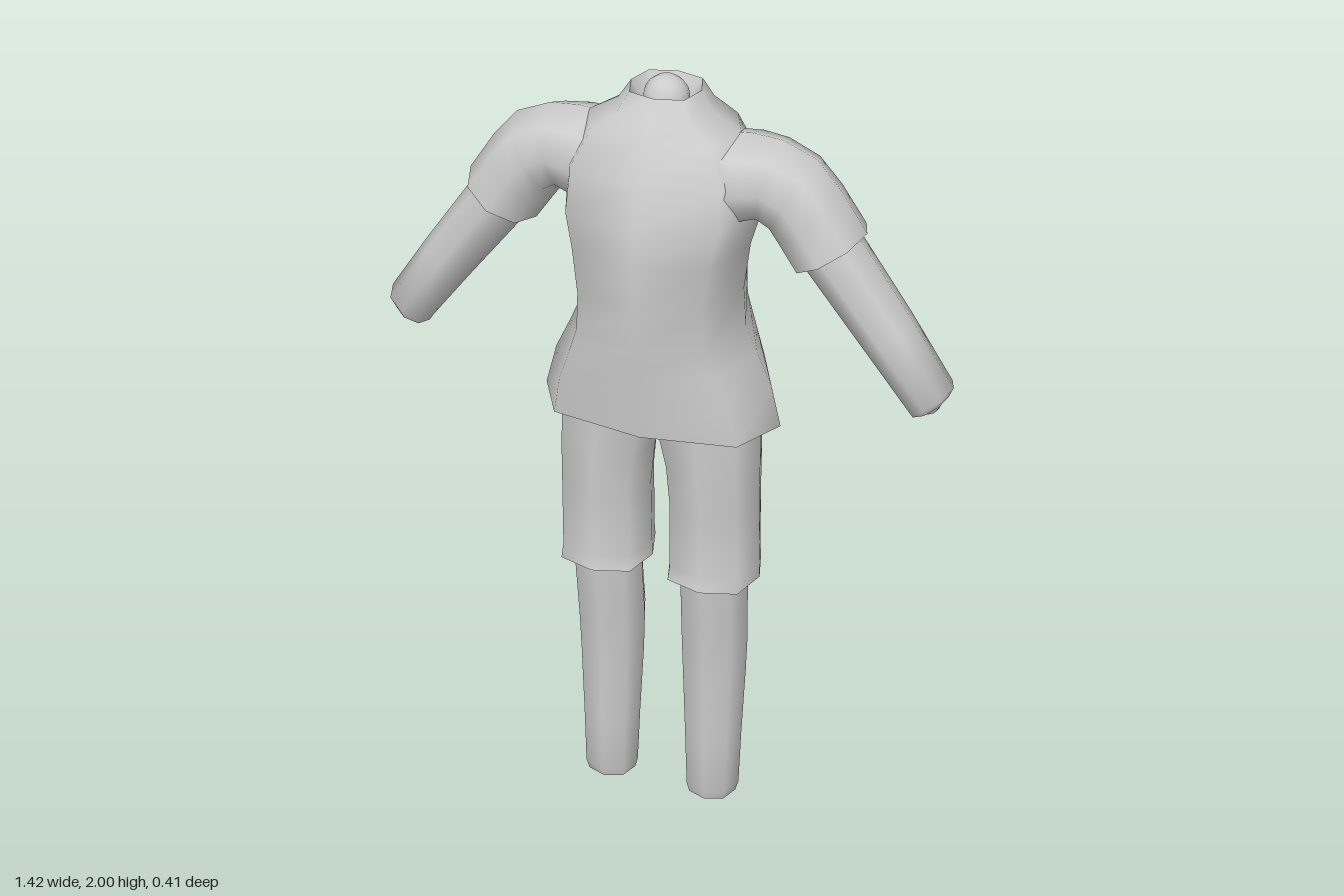
import * as THREE from 'three';
import { toCreasedNormals } from 'three/addons/utils/BufferGeometryUtils.js';

const grey = new THREE.MeshStandardMaterial({ color: 0xcccccc, side: THREE.DoubleSide });
grey.name = 'plain grey';

// Skin a surface through rings { c: centre, u, v: half axes, dip: [front, back] drop }
function loft(name, rings, power = 1, sides = 8) {
  const pos = [], index = [];
  for (const { c, u, v, dip = [0, 0] } of rings) {
    for (let i = 0; i < sides; i++) {
      const a = (i / sides) * Math.PI * 2;
      const soft = (t) => (Math.abs(t) < 1e-6 ? 0 : Math.sign(t) * Math.abs(t) ** power);
      const s = soft(Math.sin(a));
      const p = c.clone().addScaledVector(u, soft(Math.cos(a))).addScaledVector(v, s);
      p.y -= s > 0 ? dip[0] * s : -dip[1] * s;
      pos.push(p.x, p.y, p.z);
    }
  }
  // keep faces outward whichever way the rings run
  const along = rings[2].c.clone().sub(rings[1].c);
  const outward = rings[1].u.clone().cross(rings[1].v).dot(along) > 0;
  for (let r = 0; r < rings.length - 1; r++) {
    for (let i = 0; i < sides; i++) {
      const a = r * sides + i, b = r * sides + ((i + 1) % sides);
      const d = a + sides, e = b + sides;
      if (outward) index.push(a, b, e, a, e, d);
      else index.push(a, e, b, a, d, e);
    }
  }
  const g = new THREE.BufferGeometry();
  g.setAttribute('position', new THREE.Float32BufferAttribute(pos, 3));
  g.setIndex(index);
  const mesh = new THREE.Mesh(toCreasedNormals(g, 1.4), grey);
  mesh.name = name;
  return mesh;
}

// Level ring: height, x from/to, z from/to
const level = (y, x0, x1, z0, z1, dip) => ({
  c: new THREE.Vector3((x0 + x1) / 2, y, (z0 + z1) / 2),
  u: new THREE.Vector3((x1 - x0) / 2, 0, 0),
  v: new THREE.Vector3(0, 0, (z1 - z0) / 2),
  dip,
});

// Sloping arm ring: upper point, lower point, half depth
const slope = (tx, ty, bx, by, depth) => ({
  c: new THREE.Vector3((tx + bx) / 2, (ty + by) / 2, -0.01),
  u: new THREE.Vector3((tx - bx) / 2, (ty - by) / 2, 0),
  v: new THREE.Vector3(0, 0, depth),
});

function ball(name, x, y, z, r) {
  const m = new THREE.Mesh(new THREE.SphereGeometry(r, 12, 8), grey);
  m.name = name;
  m.position.set(x, y, z);
  return m;
}

// Short sleeve, forearm with an open wrist, and the joint ball inside it
function makeArm() {
  const arm = new THREE.Group();
  arm.add(
    loft('sleeve', [
      slope(0.16, 1.89, 0.17, 1.66, 0.13),
      slope(0.21, 1.895, 0.21, 1.68, 0.12),
      slope(0.28, 1.89, 0.24, 1.69, 0.105),
      slope(0.365, 1.855, 0.262, 1.672, 0.1),
      slope(0.425, 1.785, 0.285, 1.64, 0.105),
      slope(0.488, 1.69, 0.323, 1.585, 0.108),
      slope(0.465, 1.69, 0.335, 1.605, 0.085),
    ]),
    loft('forearm', [
      slope(0.4, 1.77, 0.27, 1.69, 0.085),
      slope(0.475, 1.67, 0.345, 1.592, 0.085),
      slope(0.605, 1.485, 0.49, 1.41, 0.08),
      slope(0.71, 1.328, 0.605, 1.262, 0.07),
      slope(0.7, 1.303, 0.615, 1.246, 0.057),
      slope(0.66, 1.325, 0.605, 1.29, 0.035),
    ]),
    ball('wristJoint', 0.65, 1.282, -0.01, 0.033),
  );
  return arm;
}

// Shorts leg, lower leg with an open ankle, and the joint ball inside it
function makeLeg() {
  const leg = new THREE.Group();
  leg.add(
    loft('shortsLeg', [
      level(1.24, -0.02, 0.25, -0.11, 0.13),
      level(1.1, 0.0, 0.252, -0.112, 0.13),
      level(1.03, 0.018, 0.252, -0.112, 0.13),
      level(0.92, 0.028, 0.252, -0.106, 0.127),
      level(0.74, 0.026, 0.255, -0.103, 0.122),
      level(0.703, 0.023, 0.258, -0.105, 0.132),
      level(0.74, 0.045, 0.235, -0.08, 0.108),
    ], 0.75),
    loft('lowerLeg', [
      level(0.85, 0.05, 0.232, -0.07, 0.105),
      level(0.7, 0.05, 0.23, -0.07, 0.102),
      level(0.6, 0.05, 0.227, -0.076, 0.095),
      level(0.5, 0.05, 0.225, -0.09, 0.088),
      level(0.4, 0.053, 0.222, -0.087, 0.084),
      level(0.2, 0.062, 0.215, -0.073, 0.082),
      level(0.04, 0.068, 0.211, -0.063, 0.08),
      level(0.01, 0.075, 0.203, -0.055, 0.072),
      level(0.05, 0.1, 0.178, -0.03, 0.048),
    ], 0.9),
    ball('ankleJoint', 0.139, 0.04, 0.008, 0.04),
  );
  return leg;
}

export function createModel() {
  const model = new THREE.Group();
  model.name = 'headlessFigure';

  // Flared shirt with turned-in neck and hem
  model.add(
    loft('shirt', [
      level(1.93, -0.055, 0.055, -0.075, 0.035),
      level(1.975, -0.085, 0.085, -0.1, 0.06),
      level(1.93, -0.115, 0.115, -0.12, 0.09),
      level(1.89, -0.185, 0.185, -0.135, 0.115),
      level(1.8, -0.235, 0.235, -0.168, 0.16),
      level(1.7, -0.238, 0.238, -0.192, 0.193),
      level(1.62, -0.215, 0.215, -0.202, 0.205),
      level(1.5, -0.2, 0.2, -0.203, 0.203),
      level(1.4, -0.207, 0.207, -0.195, 0.198),
      level(1.33, -0.237, 0.237, -0.185, 0.188),
      level(1.25, -0.274, 0.274, -0.17, 0.178),
      level(1.147, -0.3, 0.3, -0.148, 0.165, [0.005, 0.028]),
      level(1.18, -0.27, 0.27, -0.125, 0.14, [0.005, 0.028]),
      level(1.26, -0.2, 0.2, -0.1, 0.11),
    ], 0.75),
    ball('neckJoint', 0, 1.945, -0.02, 0.055),
  );

  // Seat of the shorts between the legs
  model.add(loft('shortsSeat', [
    level(1.26, -0.25, 0.25, -0.11, 0.13),
    level(1.18, -0.25, 0.25, -0.11, 0.13),
    level(1.13, -0.2, 0.2, -0.1, 0.115),
    level(1.09, -0.06, 0.06, -0.06, 0.07),
  ], 0.75));

  // Mirrored limbs
  for (const [side, sign] of [['left', 1], ['right', -1]]) {
    for (const [part, make] of [['Arm', makeArm], ['Leg', makeLeg]]) {
      const limb = make();
      limb.name = side + part;
      limb.scale.x = sign;
      model.add(limb);
    }
  }
  return model;
}
